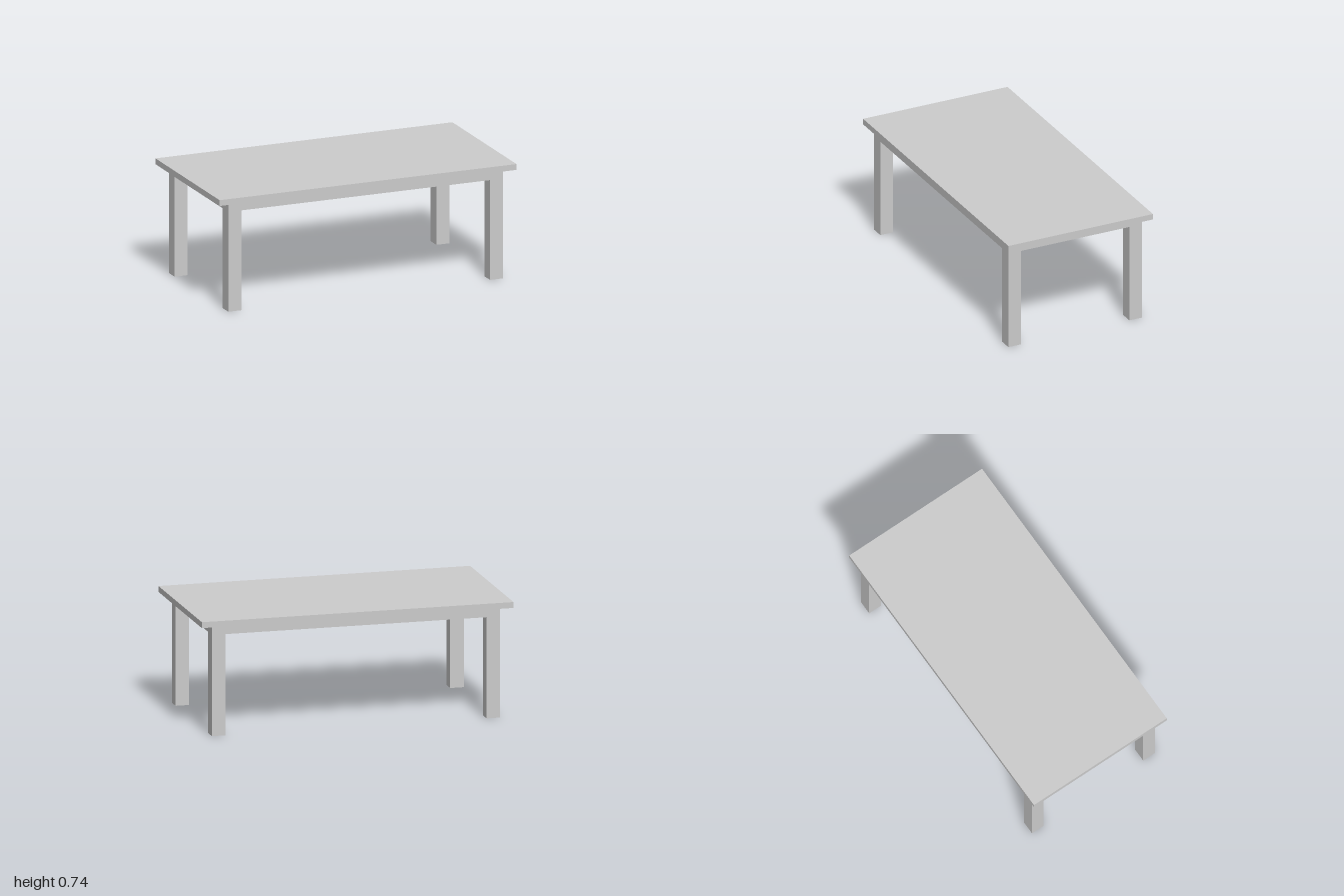
import * as THREE from 'three';

export function createModel() {
  const table = new THREE.Group();
  table.name = 'table';
  const material = new THREE.MeshStandardMaterial({ color: 0xcccccc });

  // Box standing on height y
  function addBox(name, w, h, d, x, y, z) {
    const mesh = new THREE.Mesh(new THREE.BoxGeometry(w, h, d), material);
    mesh.name = name;
    mesh.position.set(x, y + h / 2, z);
    table.add(mesh);
  }

  const topY = 0.7, topThickness = 0.0375;
  const apronY = 0.643;
  const halfW = 0.925, halfD = 0.4625, leg = 0.0875;

  // Overhanging table top
  addBox('tableTop', 2, topThickness, 1, 0, topY, 0);

  // Solid slab under the top, flush with the outer leg faces
  addBox('apron', halfW * 2, topY - apronY, halfD * 2, 0, apronY, 0);

  // Four square legs
  for (const [side, sx] of [['Left', 1], ['Right', -1]]) {
    for (const [end, sz] of [['front', 1], ['back', -1]]) {
      addBox(`${end}${side}Leg`, leg, apronY, leg, sx * (halfW - leg / 2), 0, sz * (halfD - leg / 2));
    }
  }

  return table;
}
